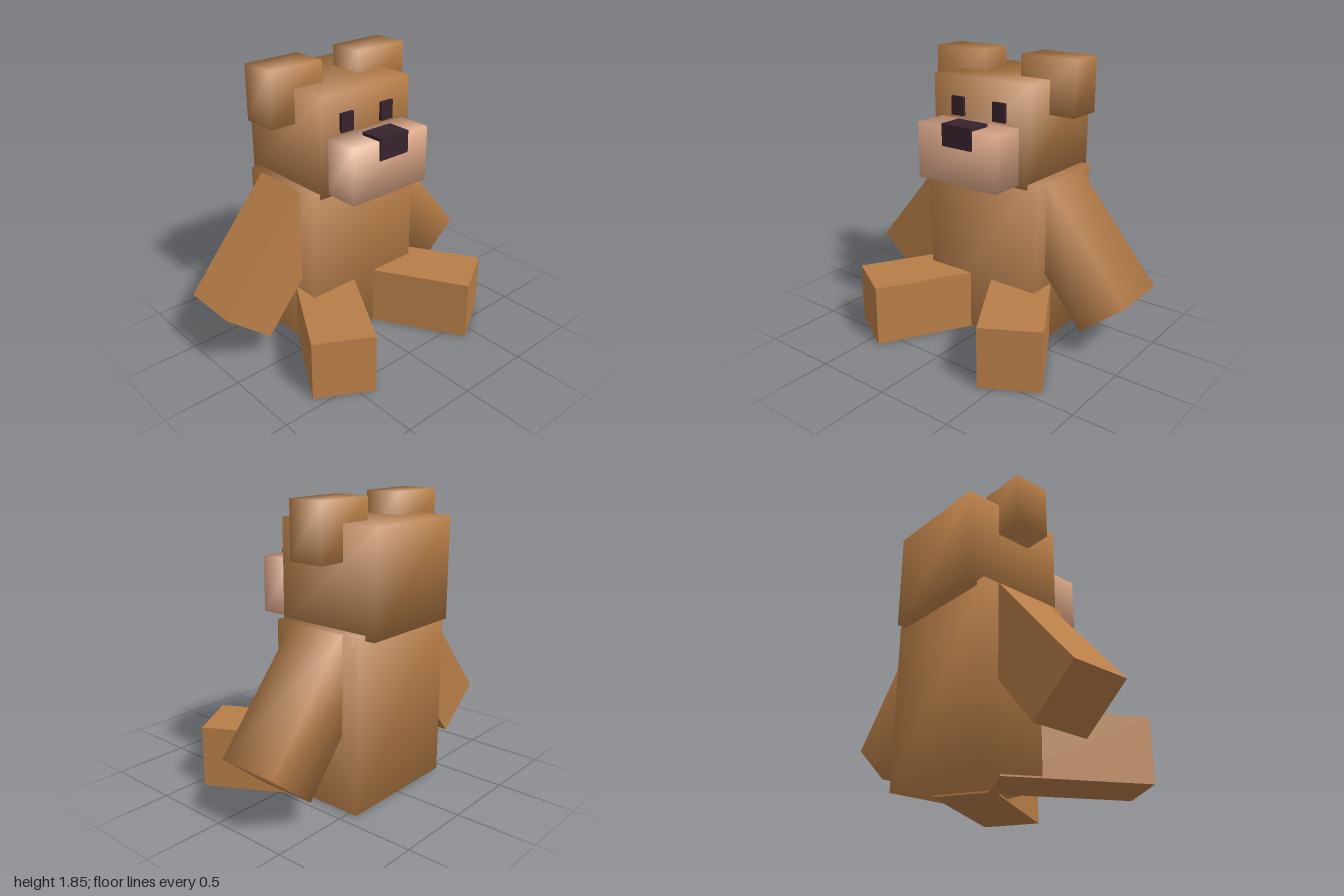
import * as THREE from 'three';

const material = (name, color) => {
  const m = new THREE.MeshStandardMaterial({ color });
  m.name = name;
  return m;
};

// Box whose corners share one averaged, area-weighted normal
function smoothBox(w, h, d) {
  const geo = new THREE.BoxGeometry(w, h, d);
  const p = geo.attributes.position, n = geo.attributes.normal;
  const v = new THREE.Vector3();
  for (let i = 0; i < p.count; i++) {
    v.set(Math.sign(p.getX(i)) / w, Math.sign(p.getY(i)) / h, Math.sign(p.getZ(i)) / d).normalize();
    n.setXYZ(i, v.x, v.y, v.z);
  }
  return geo;
}

export function createModel() {
  const fur = material('brown fur', 0xb87e48);
  const muzzle = material('pale muzzle', 0xdfaa8a);
  const dark = material('dark plum', 0x38232e);
  const bear = new THREE.Group();
  bear.name = 'bear';

  const add = (name, mat, size, pos, smooth = true) => {
    const geo = smooth ? smoothBox(...size) : new THREE.BoxGeometry(...size);
    const mesh = new THREE.Mesh(geo, mat);
    mesh.name = name;
    mesh.position.set(...pos);
    bear.add(mesh);
    return mesh;
  };

  // Torso and head
  add('body', fur, [0.85, 1.095, 0.625], [0, 0.558, -0.2525]);
  add('head', fur, [0.72, 0.64, 0.7], [0, 1.395, -0.28]);

  // Face
  add('snout', muzzle, [0.6, 0.355, 0.25], [0, 1.2725, 0.175]);
  add('nose', dark, [0.225, 0.14, 0.16], [0.013, 1.4, 0.23], false);

  // Paired parts, left is +x
  for (const [side, s] of [['left', 1], ['right', -1]]) {
    add(side + 'Eye', dark, [0.095, 0.12, 0.03], [s * 0.16, 1.53, 0.075], false);
    add(side + 'Ear', fur, [0.39, 0.35, 0.24], [s * 0.34, 1.675, -0.28]);

    // Arms lean outward; the left one is soft shaded, the right one crisp
    const arm = add(side + 'Arm', fur, [0.395, 0.89, 0.395], [s * 0.562, 0.638, -0.257], s > 0);
    arm.rotation.z = s * THREE.MathUtils.degToRad(40.2);

    // Legs splay forward
    const leg = add(side + 'Leg', fur, [0.39, 0.4, 0.885], [s * 0.359, 0.2, 0.144], false);
    leg.rotation.y = s * Math.PI / 6;
  }
  return bear;
}
